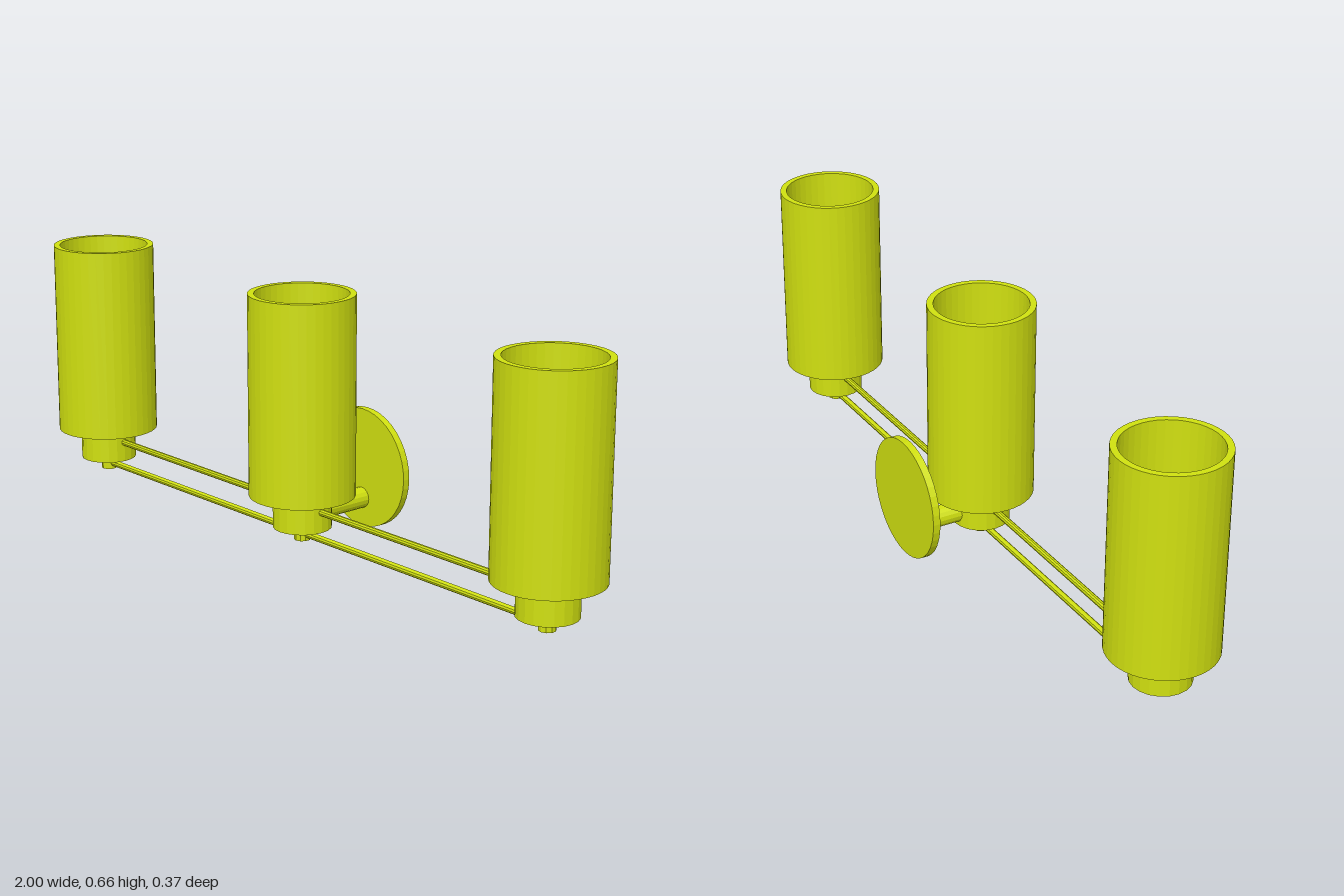
import * as THREE from 'three';

export function createModel() {
  const group = new THREE.Group();
  const metal = new THREE.MeshStandardMaterial({ color: 0xd0e010, flatShading: true, side: THREE.DoubleSide });
  const lampZ = 0.045, midX = -0.007;

  const add = (name, geometry, x, y, z, parent = group) => {
    const mesh = new THREE.Mesh(geometry, metal);
    mesh.name = name;
    mesh.position.set(x, y, z);
    parent.add(mesh);
    return mesh;
  };
  const lathe = (points, sides) =>
    new THREE.LatheGeometry(points.map(([r, y]) => new THREE.Vector2(r, y)), sides);

  // Hollow shade with a floor ring that opens into the cup
  const shade = lathe([[0.077, 0.13], [0.139, 0.13], [0.139, 0.662], [0.122, 0.662],
    [0.122, 0.14], [0.077, 0.14], [0.077, 0.13]], 40);
  // Open socket cup and the small pin beneath it
  const cup = lathe([[0, 0.043], [0.077, 0.043], [0.077, 0.135]], 20);
  const pin = new THREE.CylinderGeometry(0.022, 0.022, 0.039, 10);

  for (const [name, x] of [['rightLamp', -0.861], ['middleLamp', midX], ['leftLamp', 0.861]]) {
    const lamp = new THREE.Group();
    lamp.name = name;
    lamp.position.set(x, 0, lampZ);
    add('shade', shade, 0, 0, 0, lamp);
    add('socketCup', cup, 0, 0, 0, lamp);
    add('pin', pin, 0, 0.0275, 0, lamp);
    group.add(lamp);
  }

  // Two thin rods joining the lamps
  const rod = new THREE.CylinderGeometry(0.009, 0.009, 1.72, 10).rotateZ(Math.PI / 2);
  add('upperRod', rod, 0, 0.098, lampZ);
  add('lowerRod', rod, 0, 0.025, lampZ);

  // Wall plate and its arm
  add('wallArm', new THREE.CylinderGeometry(0.028, 0.028, 0.141, 16).rotateX(Math.PI / 2), midX, 0.078, -0.0945);
  add('wallPlate', new THREE.CylinderGeometry(0.161, 0.161, 0.02, 40).rotateX(Math.PI / 2), midX, 0.161, -0.173);

  return group;
}
